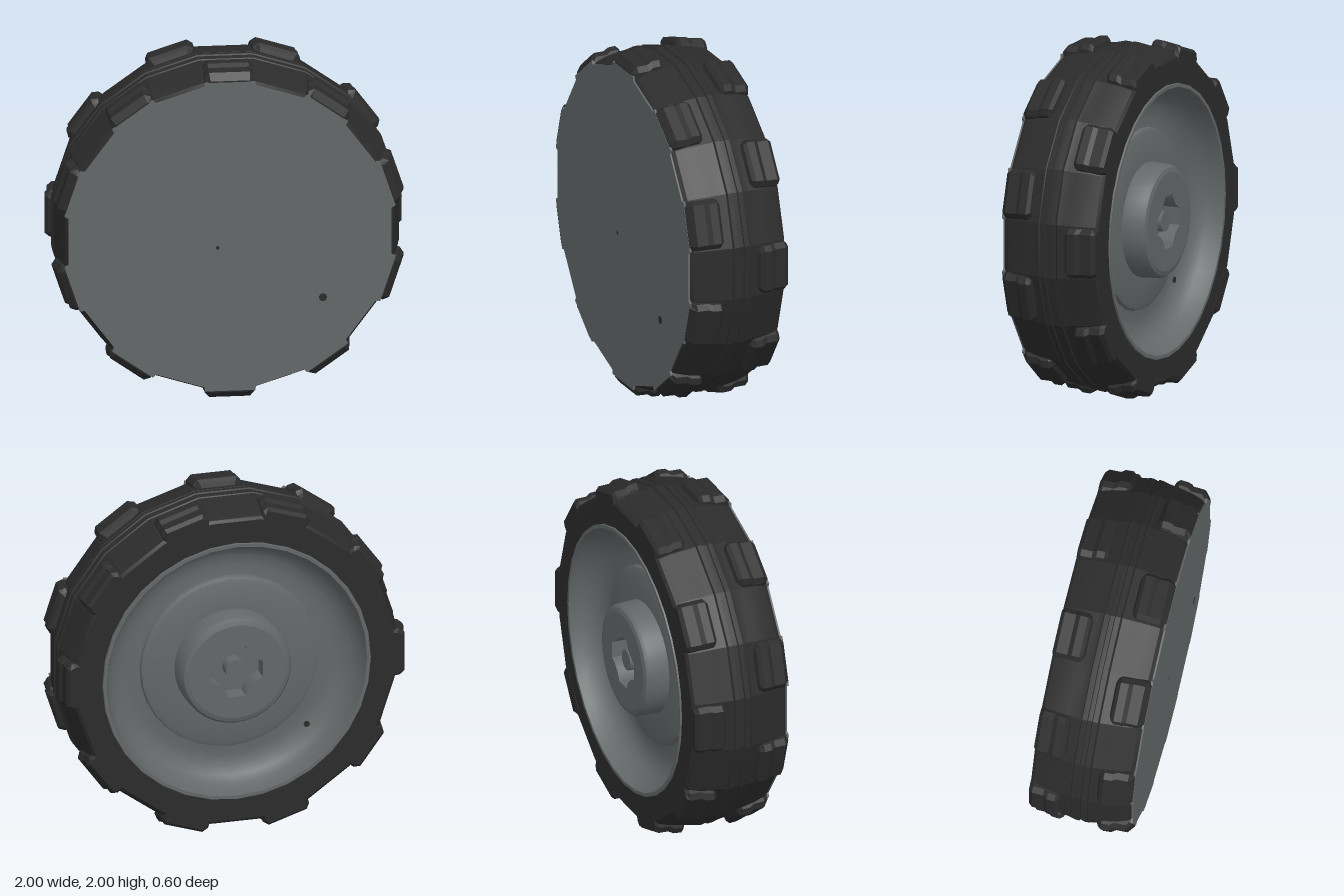
import * as THREE from 'three';
import { toCreasedNormals } from 'three/addons/utils/BufferGeometryUtils.js';

const rubber = new THREE.MeshStandardMaterial({ color: 0x2b2b2b });
rubber.name = 'black rubber';
const plastic = new THREE.MeshStandardMaterial({ color: 0x636768 });
plastic.name = 'dark grey plastic';

const STEP = Math.PI / 10; // the tyre has twenty flat sides

function add(parent, name, geometry, material) {
  const mesh = new THREE.Mesh(geometry, material);
  mesh.name = name;
  parent.add(mesh);
  return mesh;
}

// Lathe about the z axis from [radius, z] pairs
function turn(profile, sides, phi, crease) {
  const points = profile.map(([r, z]) => new THREE.Vector2(r, z));
  const geometry = new THREE.LatheGeometry(points, sides, phi);
  geometry.rotateX(Math.PI / 2);
  return toCreasedNormals(geometry, crease);
}

// Tread block lofted along z; rows are [z, half width, half width at top, top radius]
function lugGeometry(rows) {
  const rings = rows.map(([z, b, t, r]) => [
    [-b, 0.88, z], [-b, r - 0.03, z], [-t, r, z],
    [t, r, z], [b, r - 0.03, z], [b, 0.88, z],
  ]);
  const pos = [];
  const tri = (...corners) => corners.forEach((c) => pos.push(...c));
  for (let i = 0; i < rings.length - 1; i++) {
    const a = rings[i], b = rings[i + 1];
    for (let j = 0; j < 6; j++) {
      const k = (j + 1) % 6;
      tri(a[j], b[j], a[k]);
      tri(a[k], b[j], b[k]);
    }
  }
  const first = rings[0], last = rings[rings.length - 1];
  for (let k = 1; k < 5; k++) {
    tri(first[0], first[k], first[k + 1]);
    tri(last[0], last[k + 1], last[k]);
  }
  const geometry = new THREE.BufferGeometry();
  geometry.setAttribute('position', new THREE.Float32BufferAttribute(pos, 3));
  geometry.computeVertexNormals();
  return geometry;
}

export function createModel() {
  const model = new THREE.Group();
  model.name = 'wheel';
  const wheel = new THREE.Group();
  wheel.name = 'wheelAssembly';
  wheel.position.y = 1;
  model.add(wheel);

  // Tyre body, with fine grooves around the middle
  const half = [
    [0.965, 0.012], [0.973, 0.016], [0.971, 0.045], [0.963, 0.05],
    [0.968, 0.056], [0.962, 0.08], [0.955, 0.13], [0.94, 0.21], [0.92, 0.27],
  ];
  const flat = [
    [0.76, -0.285], [0.905, -0.285],
    ...half.map(([r, z]) => [r, -z]).reverse(),
    ...half, [0.905, 0.29], [0.8, 0.29],
  ].map(([r, z]) => [r / Math.cos(STEP / 2), z]);
  add(wheel, 'tyre', turn(flat, 20, STEP / 2, 0.29), rubber);

  // Two staggered rows of tread blocks
  const body = [
    [0.095, 0.1, 0.09, 0.945], [0.11, 0.125, 0.105, 0.985],
    [0.13, 0.14, 0.115, 1.0], [0.175, 0.14, 0.115, 0.997],
    [0.2, 0.14, 0.115, 0.98], [0.265, 0.14, 0.115, 0.978],
  ];
  const frontLug = lugGeometry([...body, [0.298, 0.125, 0.11, 0.938]]);
  const backLug = lugGeometry([...body, [0.286, 0.125, 0.11, 0.96]]);
  for (let i = 0; i < 10; i++) {
    add(wheel, 'frontTread', frontLug, rubber).rotation.z = 2 * i * STEP;
    add(wheel, 'backTread', backLug, rubber).rotation.set(0, Math.PI, (2 * i + 1) * STEP);
  }

  // Flat front cover, slightly wider where it meets the front tread
  const outline = [];
  for (let i = 0; i < 20; i++) {
    const apothem = i % 2 ? 0.93 : 0.905;
    for (const s of [-0.141, 0.141]) {
      outline.push(new THREE.Vector2(apothem, s).rotateAround(new THREE.Vector2(), i * STEP));
    }
  }
  const cover = new THREE.ExtrudeGeometry(new THREE.Shape(outline), { depth: 0.012, bevelEnabled: false });
  add(wheel, 'frontCover', cover.translate(0, 0, 0.288), plastic);

  // Dished rim with a raised plate and hub on the back
  const dish = [
    [0.28, -0.3], [0.305, -0.292], [0.32, -0.27], [0.325, -0.16],
    [0.49, -0.155], [0.512, -0.145], [0.517, -0.125], [0.58, -0.118],
    [0.64, -0.127], [0.69, -0.155], [0.725, -0.2], [0.745, -0.25],
    [0.755, -0.295], [0.775, -0.295], [0.778, -0.28],
  ];
  add(wheel, 'rim', turn(dish, 32, 0, 0.6), plastic);

  // Hub face with a cross-shaped socket
  const face = new THREE.Shape().absarc(0, 0, 0.28, 0, Math.PI * 2, false);
  const socket = new THREE.Path();
  for (let i = 0; i < 4; i++) {
    const at = (x, y) => new THREE.Vector2(x, y).rotateAround(new THREE.Vector2(), i * Math.PI / 2);
    const a = at(0.15, -0.05), b = at(0.15, 0.05), c = at(0.075, 0.075), d = at(0.05, 0.15);
    if (i === 0) socket.moveTo(a.x, a.y);
    else socket.lineTo(a.x, a.y);
    socket.lineTo(b.x, b.y);
    socket.quadraticCurveTo(c.x, c.y, d.x, d.y);
  }
  face.holes.push(socket);
  const hub = new THREE.ExtrudeGeometry(face, { depth: 0.11, bevelEnabled: false, curveSegments: 16 });
  add(wheel, 'hubFace', hub.translate(0, 0, -0.3), plastic);
  const floor = new THREE.CircleGeometry(0.2, 24).rotateY(Math.PI);
  add(wheel, 'socketFloor', floor.translate(0, 0, -0.2), plastic);
  const post = new THREE.CylinderGeometry(0.06, 0.06, 0.08, 16).rotateX(Math.PI / 2);
  add(wheel, 'hubPost', post.translate(0, 0, -0.24), plastic);

  // Small dark pin holes
  for (const [x, y, z, r] of [
    [0.52, -0.385, 0.299, 0.024], [-0.07, -0.065, 0.299, 0.011], [-0.45, -0.44, -0.128, 0.018],
  ]) {
    const hole = new THREE.CylinderGeometry(r, r, 0.006, 8).rotateX(Math.PI / 2);
    add(wheel, 'pinHole', hole.translate(x, y, z), rubber);
  }
  return model;
}
